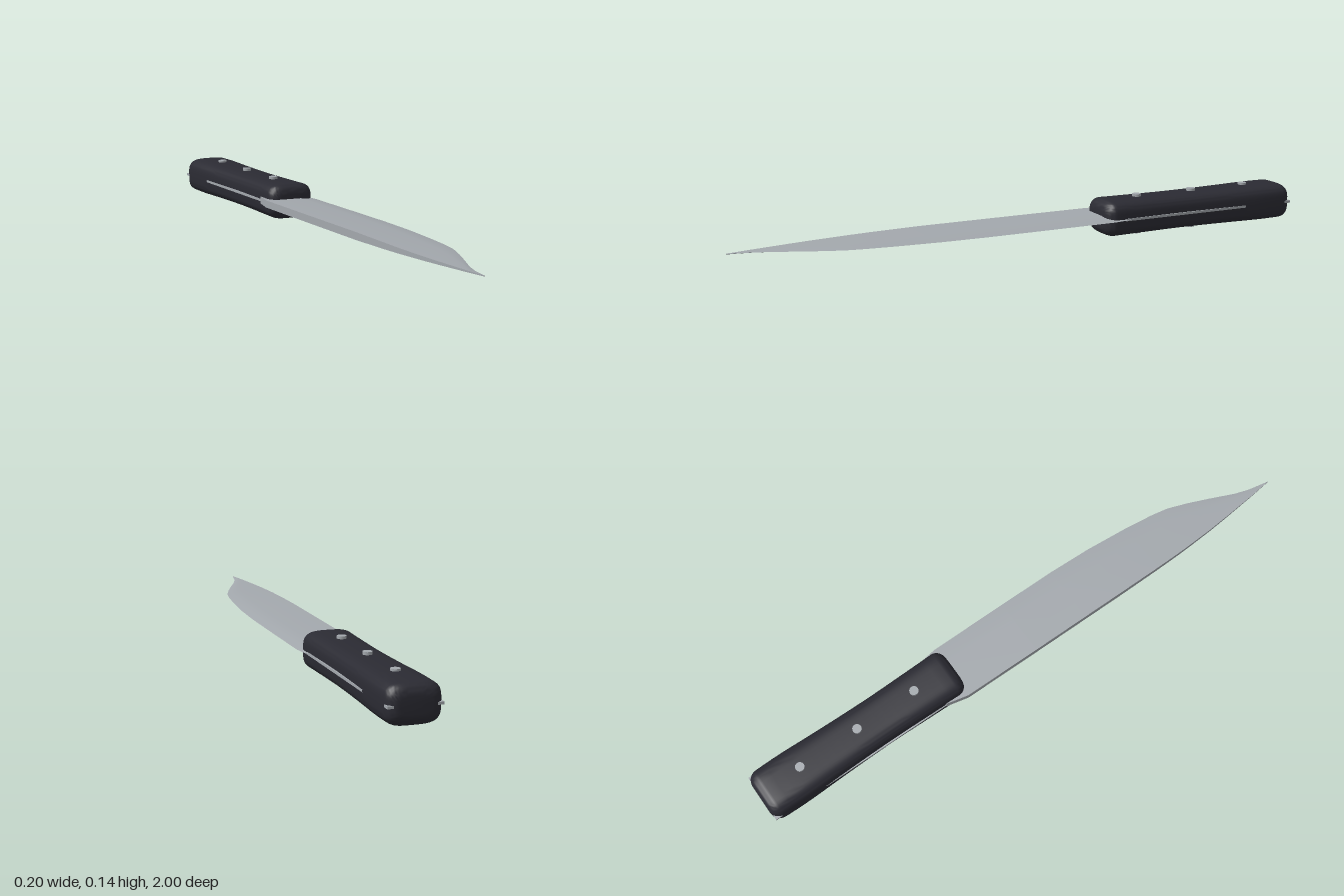
import * as THREE from 'three';
import { toCreasedNormals } from 'three/addons/utils/BufferGeometryUtils.js';

const CY = 0.069; // height of the knife's middle plane

// Skin a list of equal-sized rings (counter-clockwise seen from +z, running towards +z)
function loft(rings) {
  const n = rings[0].length, index = [], last = (rings.length - 1) * n;
  for (let i = 0; i < rings.length - 1; i++) {
    for (let j = 0; j < n; j++) {
      const a = i * n + j, b = i * n + (j + 1) % n;
      index.push(a, b, b + n, a, b + n, a + n);
    }
  }
  for (let j = 1; j < n - 1; j++) {
    index.push(0, j + 1, j, last, last + j, last + j + 1);
  }
  const g = new THREE.BufferGeometry();
  g.setAttribute('position', new THREE.Float32BufferAttribute(rings.flat(2), 3));
  g.setIndex(index);
  g.computeVertexNormals();
  return g;
}

// Wedge blade: thick spine at -x, cutting edge at +x
function bladeGeometry() {
  // z, spine x, edge x
  const rows = [
    [-0.36, -0.078, 0.078], [-0.32, -0.088, 0.09], [-0.27, -0.099, 0.097], [0, -0.1, 0.098],
    [0.2, -0.1, 0.098], [0.35, -0.1, 0.093], [0.5, -0.099, 0.081], [0.6, -0.097, 0.069],
    [0.66, -0.094, 0.058], [0.73, -0.09, 0.033], [0.8, -0.084, 0.004], [0.88, -0.076, -0.031],
    [0.93, -0.071, -0.047], [1, -0.062, -0.0605],
  ];
  const rings = rows.map(([z, s, e]) => {
    const t = 0.0125 * (z < 0.4 ? 1 : 1 - 0.9 * (z - 0.4) / 0.6);
    const m = s + (e - s) * 0.65, q = s + (e - s) * 0.85;
    return [
      [e, CY, z], [q, CY + t * 0.5, z], [m, CY + t * 0.85, z], [s, CY + t, z],
      [s, CY - t, z], [m, CY - t * 0.85, z], [q, CY - t * 0.5, z],
    ];
  });
  return toCreasedNormals(loft(rings), 0.5);
}

// Rounded, slightly waisted grip
function handleGeometry() {
  const z0 = -1, z1 = -0.26, r = 0.035, sides = 48;
  const stations = []; // [z, inset]
  for (let i = 0; i <= 7; i++) {
    const a = (i / 7) * Math.PI / 2;
    stations.push([z0 + r * (1 - Math.sin(a)), r * (1 - Math.cos(a))]);
  }
  stations.reverse();
  const front = stations.map(([z, d]) => [z1 - (z - z0), d]).reverse();
  // stations now run inwards-to-end, so order both ends by z
  const body = [];
  for (let i = 1; i < 20; i++) {
    body.push([z0 + r + (z1 - z0 - 2 * r) * i / 20, 0]);
  }
  const all = [...stations, ...body, ...front].sort((a, b) => a[0] - b[0]);
  const rounded = (v) => Math.sign(v) * Math.pow(Math.abs(v), 0.55);
  const waist = new THREE.SplineCurve([
    [-1, 0.083, 0], [-0.88, 0.085, 0], [-0.74, 0.081, 0], [-0.56, 0.078, 0],
    [-0.4, 0.08, 0], [-0.26, 0.083, 0],
  ].map(([z, w]) => new THREE.Vector2(z, w)));
  const table = waist.getPoints(200);
  const rings = all.map(([z, d]) => {
    const w = (table.find((p) => p.x >= z - 1e-6) || table[200]).y;
    const h = 0.062 - (0.085 - w) * 0.5;
    return Array.from({ length: sides }, (_, j) => {
      const a = (j / sides) * Math.PI * 2;
      return [(w - d) * rounded(Math.cos(a)), CY + (h - d) * rounded(Math.sin(a)), z];
    });
  });
  return toCreasedNormals(loft(rings), 0.9);
}

export function createModel() {
  const steel = new THREE.MeshStandardMaterial({ color: 0xa3a8ad });
  steel.name = 'steel';
  const black = new THREE.MeshStandardMaterial({ color: 0x2b2b33 });
  black.name = 'blackGrip';

  const knife = new THREE.Group();
  knife.name = 'knife';
  const add = (name, geometry, material) => {
    const mesh = new THREE.Mesh(geometry, material);
    mesh.name = name;
    knife.add(mesh);
    return mesh;
  };

  add('blade', bladeGeometry(), steel);
  add('handle', handleGeometry(), black);

  // Thin tang showing along both sides of the grip
  add('tang', new THREE.BoxGeometry(0.166, 0.008, 0.67), steel).position.set(0, CY, -0.661);

  // Rivets through the grip
  for (const z of [-0.845, -0.63, -0.412]) {
    add('rivet', new THREE.CylinderGeometry(0.015, 0.015, CY * 2 - 0.002, 20), steel).position.set(0, CY, z);
  }
  return knife;
}
